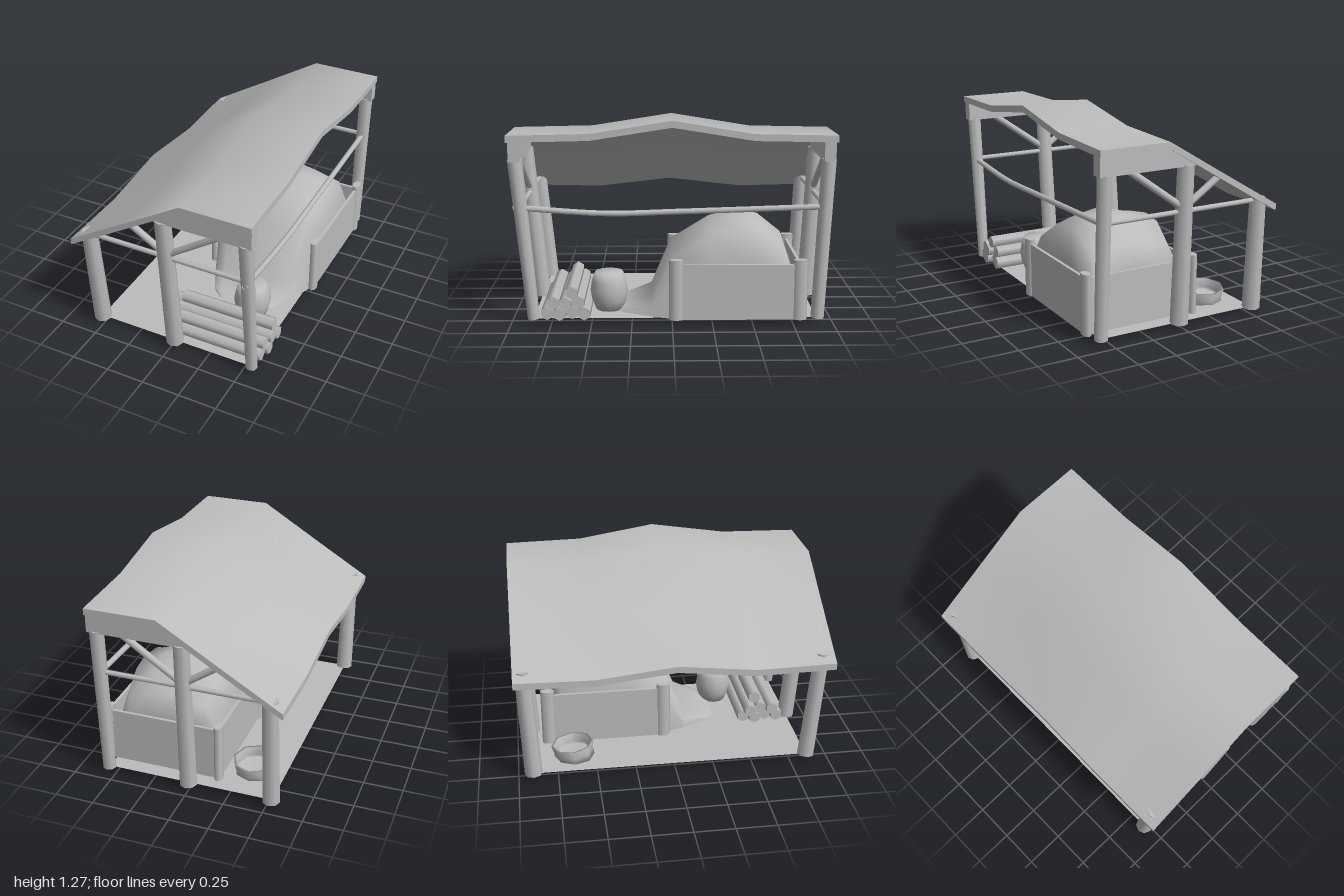
import * as THREE from 'three';

const grey = new THREE.MeshStandardMaterial({ color: 0xbcbcbc, side: THREE.DoubleSide });
grey.name = 'plain grey';

const V = (x, y, z) => new THREE.Vector3(x, y, z);

function add(parent, name, geometry) {
  const mesh = new THREE.Mesh(geometry, grey);
  mesh.name = name;
  parent.add(mesh);
  return mesh;
}

// Smooth skin over equal-length rows of points; faces up when rows run +z and points run +x
function skin(rows, flip = false) {
  const n = rows[0].length, index = [];
  for (let r = 0; r < rows.length - 1; r++) {
    for (let c = 0; c < n - 1; c++) {
      const a = r * n + c, b = a + n;
      if (flip) index.push(a, a + 1, b, b, a + 1, b + 1);
      else index.push(a, b, a + 1, b, b + 1, a + 1);
    }
  }
  const g = new THREE.BufferGeometry().setFromPoints(rows.flat());
  g.setIndex(index);
  g.computeVertexNormals();
  return g;
}

// Round timber between two points
function pole(parent, name, a, b, rBottom, rTop = rBottom, sides = 8) {
  const d = b.clone().sub(a);
  const mesh = add(parent, name, new THREE.CylinderGeometry(rTop, rBottom, d.length(), sides));
  mesh.position.copy(a).add(b).multiplyScalar(0.5);
  mesh.quaternion.setFromUnitVectors(V(0, 1, 0), d.normalize());
  return mesh;
}

function box(parent, name, x0, x1, y0, y1, z0, z1) {
  const mesh = add(parent, name, new THREE.BoxGeometry(x1 - x0, y1 - y0, z1 - z0));
  mesh.position.set((x0 + x1) / 2, (y0 + y1) / 2, (z0 + z1) / 2);
}

// Sagging roof: one slope and a flat strip, raised in the middle
function makeRoof() {
  const roof = new THREE.Group();
  roof.name = 'roof';
  // z, eave height, ridge height
  const stations = [[-1, 0.715, 1.178], [-0.5, 0.705, 1.187], [0, 0.762, 1.268], [0.5, 0.705, 1.19], [1, 0.715, 1.18]];
  const top = stations.map(([z, eave, ridge]) => [
    V(-0.615, eave, z), V(-0.23, (eave + ridge) / 2, z), V(0.15, ridge, z), V(0.603, ridge, z)]);
  const bottom = top.map(row => row.map(p => V(p.x, p.y - 0.042, p.z)));
  add(roof, 'roofTop', skin(top));
  add(roof, 'roofUnderside', skin(bottom, true));
  const last = top.length - 1;
  add(roof, 'frontRoofEdge', skin([top[last], bottom[last]]));
  add(roof, 'backRoofEdge', skin([top[0], bottom[0]], true));
  add(roof, 'leftRoofEdge', skin([top.map(r => r[3]), bottom.map(r => r[3])], true));
  add(roof, 'eaveEdge', skin([top.map(r => r[0]), bottom.map(r => r[0])]));
  return roof;
}

// End frame of three leaning posts, tie, braces and top beam
function makeFrame(name, zBottom, zTop, rCorner) {
  const g = new THREE.Group();
  g.name = name;
  const z = y => zBottom + (zTop - zBottom) * (y - 0.03) / 0.99;
  const at = (x, y) => V(x, y, z(y));
  pole(g, 'lowPost', at(-0.525, 0.03), at(-0.522, 0.755), 0.056, 0.05);
  pole(g, 'middlePost', at(0.012, 0.03), at(0.015, 1.03), 0.057, 0.051);
  pole(g, 'highPost', at(0.55, 0.03), at(0.55, 1.03), rCorner, 0.046);
  pole(g, 'tie', at(-0.5, 0.74), at(0.53, 0.74), 0.016);
  pole(g, 'lowBrace', at(0, 0.77), at(-0.23, 0.93), 0.022);
  pole(g, 'highBrace', at(0.02, 0.76), at(0.41, 1.04), 0.022);
  const shape = new THREE.Shape([[-0.05, 1.02], [0.6, 1.02], [0.6, 1.15], [0.16, 1.15]]
    .map(([x, y]) => new THREE.Vector2(x, y)));
  const beam = add(g, 'topBeam', new THREE.ExtrudeGeometry(shape, { depth: 0.07, bevelEnabled: false }));
  beam.position.z = zTop - 0.035;
  return g;
}

// Heap spilling out of the open front of the bin
function makeHeap() {
  const across = [[-0.35, 0], [-0.34, 0.6], [-0.265, 0.9], [-0.15, 0.935], [0, 1], [0.14, 0.96], [0.28, 0.89], [0.34, 0.6], [0.36, 0]];
  // z, peak height, width factor
  const along = [[-0.75, 0.03, 0.9], [-0.745, 0.38, 0.9], [-0.7, 0.51, 0.95], [-0.55, 0.63, 1], [-0.42, 0.655, 1],
    [-0.25, 0.62, 1], [0, 0.45, 0.98], [0.13, 0.12, 0.85], [0.3, 0.06, 0.6], [0.36, 0.032, 0.4]];
  return skin(along.map(([z, h, w]) => across.map(([x, f]) => V(0.22 + x * w, 0.03 + (h - 0.03) * f, z))));
}

export function createModel() {
  const model = new THREE.Group();
  model.name = 'woodShelter';

  // Floor and timber structure
  const floor = add(model, 'floor', new THREE.PlaneGeometry(1.08, 1.76).rotateX(-Math.PI / 2));
  floor.position.set(0.01, 0.031, -0.02);
  model.add(makeRoof(), makeFrame('frontFrame', 0.86, 0.952, 0.038), makeFrame('backFrame', -0.905, -0.952, 0.042));

  // Bent rail along the high side
  const rail = [V(0.55, 0.735, 0.97), V(0.55, 0.695, 0.4), V(0.55, 0.705, 0), V(0.55, 0.735, -0.95)];
  add(model, 'sideRail', new THREE.TubeGeometry(new THREE.CatmullRomCurve3(rail), 12, 0.018, 8));

  // Bin with corner posts, open at the front
  const bin = new THREE.Group();
  bin.name = 'bin';
  model.add(bin);
  for (const x of [-0.147, 0.587]) {
    box(bin, 'binSideWall', x - 0.01, x + 0.01, 0.03, 0.38, -0.79, -0.02);
    for (const z of [-0.025, -0.79]) {
      const post = add(bin, 'binPost', new THREE.CylinderGeometry(0.045, 0.045, 0.38, 8));
      post.scale.x = 0.62;
      post.position.set(x, 0.22, z);
    }
  }
  box(bin, 'binBackWall', -0.147, 0.587, 0.03, 0.38, -0.8, -0.78);
  add(model, 'heap', makeHeap());

  // Barrel
  const barrelProfile = [[0, 0], [0.085, 0], [0.11, 0.06], [0.12, 0.125], [0.11, 0.19], [0.09, 0.245], [0, 0.245]]
    .map(([r, y]) => new THREE.Vector2(r, y));
  const barrel = add(model, 'barrel', new THREE.LatheGeometry(barrelProfile, 12));
  barrel.position.set(0.335, 0.031, 0.4);

  // Log stack
  const logs = new THREE.Group();
  logs.name = 'logStack';
  model.add(logs);
  const rows = [
    { y: 0.07, x0: -0.065, x1: 0.58, z: [0.775, 0.697, 0.62, 0.545] },
    { y: 0.137, x0: -0.095, x1: 0.585, z: [0.737, 0.66, 0.583] },
    { y: 0.203, x0: -0.04, x1: 0.59, z: [0.622] }];
  for (const row of rows) {
    row.z.forEach((z, i) => {
      const shift = [0, 0.02, -0.015, 0.01][i];
      const geo = new THREE.CylinderGeometry(0.042, 0.042, row.x1 - row.x0, 6).rotateY(Math.PI / 6).rotateZ(Math.PI / 2);
      add(logs, 'log', geo).position.set((row.x0 + row.x1) / 2 + shift, row.y, z);
    });
  }

  // Low tilted tub, open at the top
  const tubProfile = [[0, 0], [0.13, 0], [0.127, 0.05], [0.138, 0.105], [0.122, 0.105], [0.113, 0.05], [0.113, 0.03], [0, 0.03]]
    .map(([r, y]) => new THREE.Vector2(r, y));
  const tub = add(model, 'tub', new THREE.LatheGeometry(tubProfile, 8));
  tub.position.set(-0.333, 0.0145, -0.635);
  tub.rotation.x = -0.11;

  return model;
}
